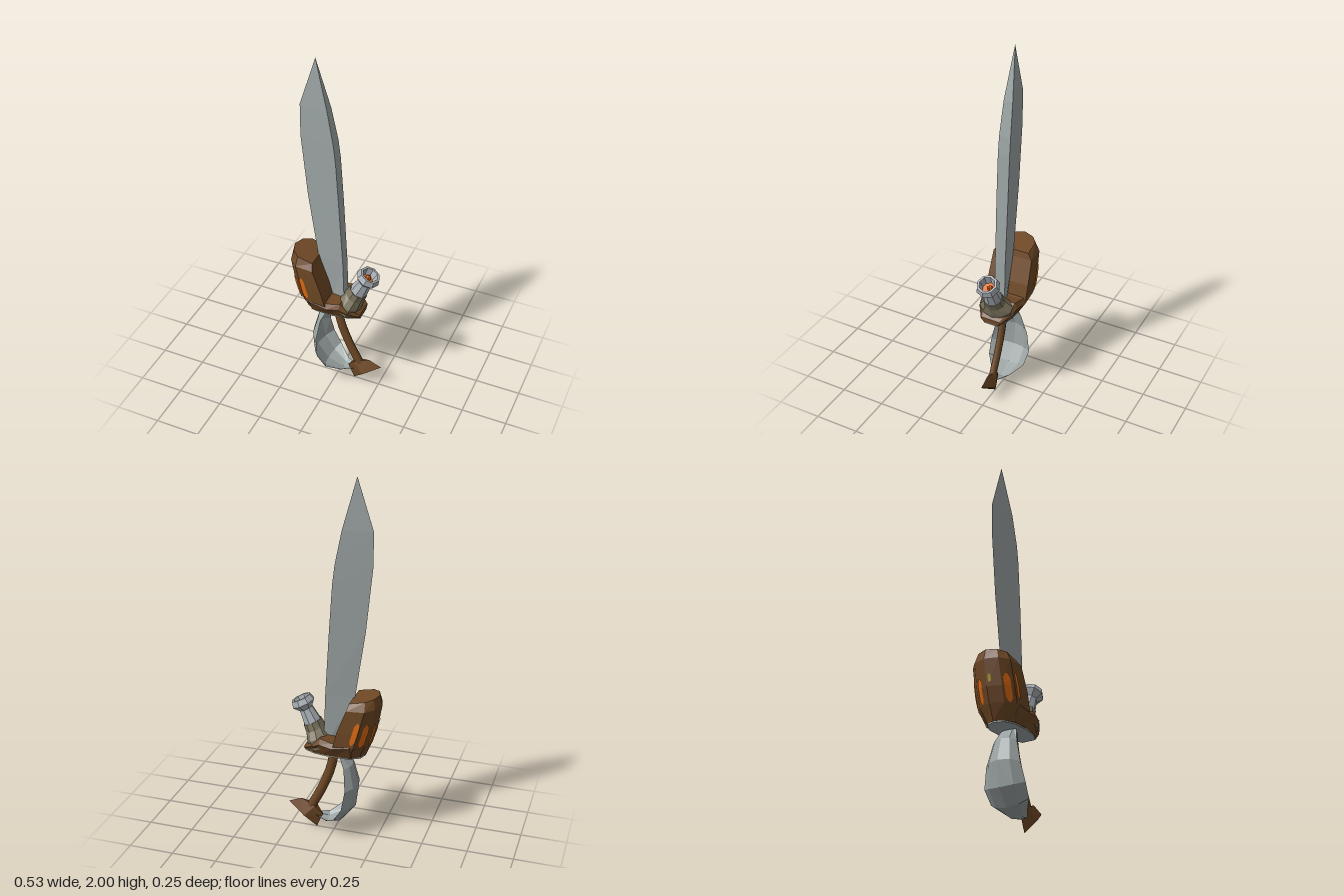
import * as THREE from 'three';
import { ConvexGeometry } from 'three/addons/geometries/ConvexGeometry.js';

const mat = (name, color, side = THREE.FrontSide) => new THREE.MeshStandardMaterial({ name, color, side });
const V = (x, y, z) => new THREE.Vector3(x, y, z);

// Faceted geometry from a list of triangle corners
function facets(tris) {
  const g = new THREE.BufferGeometry().setFromPoints(tris);
  g.computeVertexNormals();
  return g;
}

// Closed loft through rings of points, with end caps, always facing outward
function loft(rings) {
  const tris = [], n = rings[0].length;
  for (let i = 0; i < rings.length - 1; i++) {
    for (let j = 0; j < n; j++) {
      const k = (j + 1) % n, a = rings[i][j], b = rings[i][k], c = rings[i + 1][k], d = rings[i + 1][j];
      tris.push(a, b, c, a, c, d);
    }
  }
  const first = rings[0], last = rings[rings.length - 1];
  for (let j = 1; j < n - 1; j++) {
    tris.push(first[0], first[j + 1], first[j], last[0], last[j], last[j + 1]);
  }
  let volume = 0;
  for (let i = 0; i < tris.length; i += 3) volume += tris[i].dot(tris[i + 1].clone().cross(tris[i + 2]));
  return facets(volume < 0 ? tris.reverse() : tris);
}

// Open strip between rows of points
function sheet(rows) {
  const tris = [];
  for (let i = 0; i < rows.length - 1; i++) {
    for (let j = 0; j < rows[i].length - 1; j++) {
      const a = rows[i][j], b = rows[i][j + 1], c = rows[i + 1][j + 1], d = rows[i + 1][j];
      tris.push(a, b, c, a, c, d);
    }
  }
  return facets(tris);
}

// Guard pod: heights at left and right, x range and half width of each ring
const PLAN = [[0, 0], [0.13, 0.62], [0.4, 0.98], [1, 1]];
const POD = [
  [0.498, 0.498, -0.18, 0.0, 0.08],
  [0.58, 0.58, -0.215, -0.03, 0.118],
  [0.66, 0.66, -0.24, -0.05, 0.12],
  [0.80, 0.79, -0.265, -0.10, 0.115],
  [0.855, 0.825, -0.252, -0.11, 0.09],
];
const podPoint = ([yl, yr, xl, xr, w], [u, v]) => V(xl + (xr - xl) * u, yl + (yr - yl) * u, w * v);
const mirrorRing = (half) => [...half, ...half.slice(1).reverse().map((p) => V(p.x, p.y, -p.z))];

// Point on a pod facet at height y, raised slightly off the surface
function onPod(facet, a, y, side) {
  const i = Math.max(0, POD.findIndex((r) => r[0] >= y) - 1);
  const t = (y - POD[i][0]) / (POD[i + 1][0] - POD[i][0]);
  const ring = POD[i].map((v, k) => v + (POD[i + 1][k] - v) * t);
  const p = podPoint(ring, PLAN[facet]).lerp(podPoint(ring, PLAN[facet + 1]), a);
  const out = [V(-0.95, 0, 0.3), V(-0.65, 0, 0.75), V(0, 0, 1)][facet];
  p.addScaledVector(out, 0.006);
  p.z *= side;
  return p;
}

export function createModel() {
  const steel = mat('steel', 0x9ea6a6);
  const steelSheet = mat('steelSheet', 0x9aa2a2, THREE.DoubleSide);
  const barrelSteel = mat('barrelSteel', 0xaab0b6, THREE.DoubleSide);
  const wood = mat('wood', 0x6e4825);
  const tan = mat('tan', 0x77705a);
  const orange = mat('orange', 0xe06a10, THREE.DoubleSide);
  const yellow = mat('yellow', 0xb09a18, THREE.DoubleSide);

  const model = new THREE.Group();
  const add = (name, geometry, material, parent = model) => {
    const mesh = new THREE.Mesh(geometry, material);
    mesh.name = name;
    parent.add(mesh);
    return mesh;
  };

  // Blade: sharp edge on one side, flat spine on the other
  const blade = [
    [0.52, -0.04, 0.05, 0.03], [0.82, -0.115, 0.04, 0.03], [1.2, -0.17, 0.017, 0.033],
    [1.45, -0.195, 0, 0.033], [1.55, -0.205, -0.012, 0.032], [1.73, -0.205, -0.047, 0.025],
    [2, -0.118, -0.118, 0.0005],
  ];
  add('blade', loft(blade.map(([y, xe, xs, h]) => [V(xe, y, 0), V(xs, y, h), V(xs, y, -h)])), steel);

  // Guard pod and the low body that carries the barrel
  add('guardPod', loft(POD.map((r) => mirrorRing(PLAN.map((p) => podPoint(r, p))))), wood);
  const low = [
    [-0.12, 0.61, 0.119], [-0.02, 0.585, 0.12], [0.05, 0.60, 0.11], [0.09, 0.57, 0.1], [0.15, 0.525, 0.06],
  ];
  add('guardBody', loft(low.map(([x, top, w]) => {
    const mid = 0.5 + (top - 0.5) * 0.7;
    return [V(x, 0.498, w * 0.68), V(x, mid, w), V(x, top, w * 0.85),
      V(x, top, -w * 0.85), V(x, mid, -w), V(x, 0.498, -w * 0.68)];
  })), wood);

  // Steel plate under the guard
  const plate = [[-0.178, 0], [-0.16, 0.048], [-0.1, 0.078], [0, 0.08], [0.09, 0.066], [0.148, 0.04]];
  add('guardPlate', loft([0.491, 0.498].map((y) => mirrorRing(plate.map(([x, z]) => V(x, y, z))))), steel);

  // Glowing slits in the pod
  const slit = (facet, a0, a1, side, y0, y1, material) => {
    const rows = [0, 0.15, 0.4, 0.6, 0.85, 1].map((t) => {
      const w = (a1 - a0) / 2 * (t === 0 || t === 1 ? 0.3 : 1), c = (a0 + a1) / 2, y = y0 + (y1 - y0) * t;
      return [onPod(facet, c - w, y, side), onPod(facet, c + w, y, side)];
    });
    add('slit', sheet(rows), material);
  };
  for (const side of [1, -1]) {
    slit(2, 0.03, 0.27, side, 0.6, 0.735, orange);
    slit(1, 0.15, 0.7, side, 0.58, 0.72, orange);
  }
  slit(0, 0.4, 0.75, -1, 0.58, 0.71, orange);
  slit(0, 0.15, 0.35, 1, 0.68, 0.72, yellow);

  // Flared barrel, tilted forward from the guard
  const barrel = new THREE.Group();
  barrel.name = 'barrel';
  barrel.position.set(0.082, 0.57, 0);
  barrel.rotation.z = -0.46;
  model.add(barrel);
  const base = [[-0.045, 0.072, 0.1], [0.01, 0.064, 0.095], [0.05, 0.055, 0.062], [0.09, 0.052, 0.052]];
  add('barrelBase', loft(base.map(([y, rx, rz]) => Array.from({ length: 10 }, (_, i) => {
    const a = i / 10 * Math.PI * 2;
    return V(rx * Math.cos(a), y, rz * Math.sin(a));
  }))), tan, barrel);
  const profile = [[0.05, 0.085], [0.038, 0.17], [0.066, 0.203], [0.056, 0.235], [0.044, 0.235], [0.034, 0.185]];
  const tube = new THREE.LatheGeometry(profile.map(([r, y]) => new THREE.Vector2(r, y)), 8).toNonIndexed();
  tube.computeVertexNormals();
  add('barrelTube', tube, barrelSteel, barrel);
  const plug = add('barrelPlug', new THREE.CircleGeometry(0.036, 8), orange, barrel);
  plug.rotation.x = -Math.PI / 2;
  plug.position.y = 0.19;
  add('barrelBall', new THREE.IcosahedronGeometry(0.017, 0), orange, barrel).position.set(0, 0.2, -0.01);

  // Curved grip
  const gripPath = new THREE.CatmullRomCurve3([V(-0.008, 0.52, 0), V(0.02, 0.38, 0), V(0.065, 0.26, 0), V(0.14, 0.11, 0)]);
  add('grip', new THREE.TubeGeometry(gripPath, 8, 0.026, 8), wood).scale.z = 0.75;

  // Pointed pommel
  add('pommel', new ConvexGeometry([
    V(0.1, 0, 0), V(0.262, 0.133, 0), V(0.165, 0.075, 0.036), V(0.165, 0.075, -0.036),
    V(0.065, 0.085, 0), V(0.105, 0.135, 0.018), V(0.105, 0.135, -0.018), V(0.19, 0.163, 0),
  ]), wood);

  // Knuckle bow: outer ridge x, y, then rim x, y and half width
  const bow = [
    [-0.04, 0.505, -0.035, 0.505, 0.042], [-0.11, 0.43, -0.075, 0.42, 0.07], [-0.142, 0.31, -0.09, 0.3, 0.1],
    [-0.125, 0.175, -0.075, 0.195, 0.12], [-0.06, 0.09, -0.03, 0.125, 0.11], [0.035, 0.055, 0.04, 0.08, 0.055],
    [0.1, 0.07, 0.1, 0.085, 0.02],
  ];
  add('knuckleBow', sheet(bow.map(([x, y, rx, ry, w]) => {
    const bx = x + (rx - x) * 0.3, by = y + (ry - y) * 0.3;
    return [V(rx, ry, -w), V(bx, by, -w * 0.6), V(x, y, 0), V(bx, by, w * 0.6), V(rx, ry, w)];
  })), steelSheet);

  return model;
}
